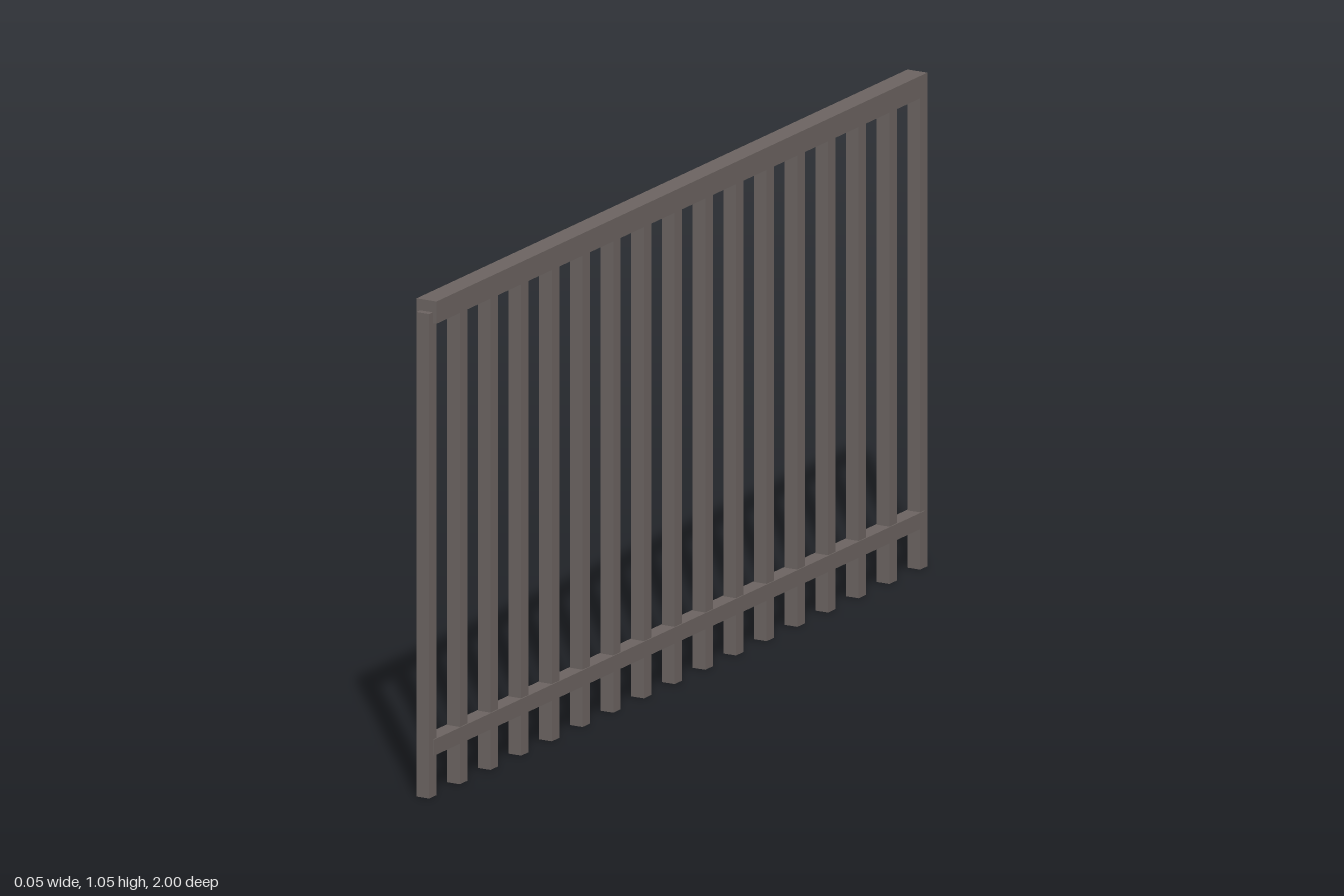
import * as THREE from 'three';

export function createModel() {
  const model = new THREE.Group();
  model.name = 'railing';
  const metal = new THREE.MeshStandardMaterial({ color: 0x6b6360 });
  metal.name = 'warm grey metal';

  // Box spanning y0..y1, centred on x = 0
  function bar(name, width, y0, y1, depth, z = 0) {
    const mesh = new THREE.Mesh(new THREE.BoxGeometry(width, y1 - y0, depth), metal);
    mesh.name = name;
    mesh.position.set(0, (y0 + y1) / 2, z);
    model.add(mesh);
  }

  // Evenly spaced upright bars
  const count = 17, size = 0.03, reach = 1 - size / 2;
  for (let i = 0; i < count; i++) {
    const z = -reach + (2 * reach * i) / (count - 1);
    bar('baluster' + (i + 1), size, 0, 1.023, size, z);
  }

  // Horizontal rails end at the middle of the outer bars
  bar('handrail', 0.047, 1.0, 1.047, 2 * reach);
  bar('lowerRail', 0.035, 0.087, 0.121, 2 * reach);

  return model;
}
